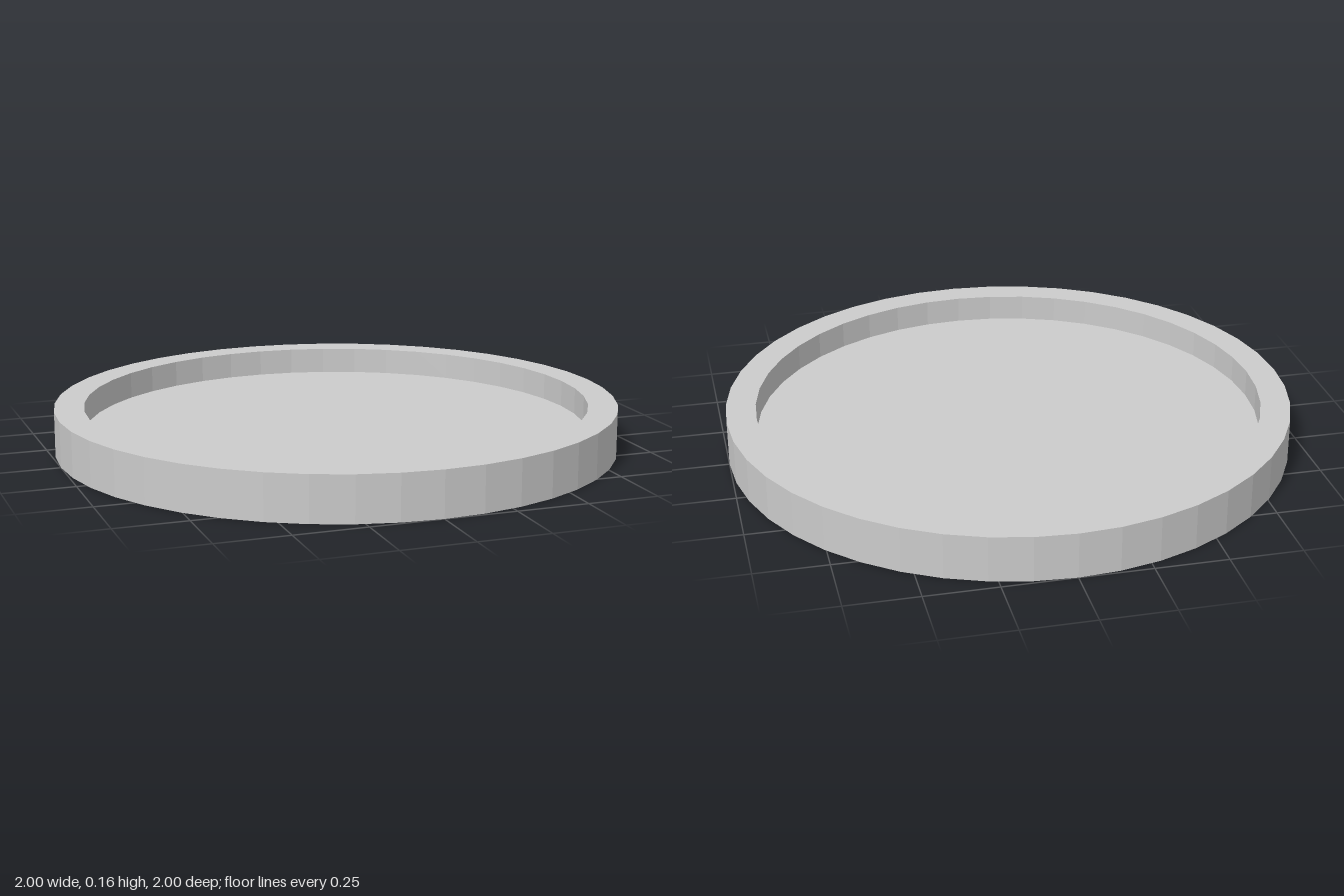
import * as THREE from 'three';

export function createModel() {
  const group = new THREE.Group();
  group.name = 'roundTray';

  const sides = 44;
  const outer = 1, inner = 0.895, height = 0.16, floorY = 0.065;

  // Closed profile from the underside centre, round the rim, to the floor centre
  const profile = [
    [0, 0],
    [outer, 0],
    [outer, height],
    [inner, height],
    [inner, floorY],
    [0, floorY],
  ].map(([r, y]) => new THREE.Vector2(r, y));

  const tray = new THREE.Mesh(
    new THREE.LatheGeometry(profile, sides),
    new THREE.MeshStandardMaterial({ color: 0xcccccc, flatShading: true })
  );
  tray.name = 'tray';
  group.add(tray);

  return group;
}
